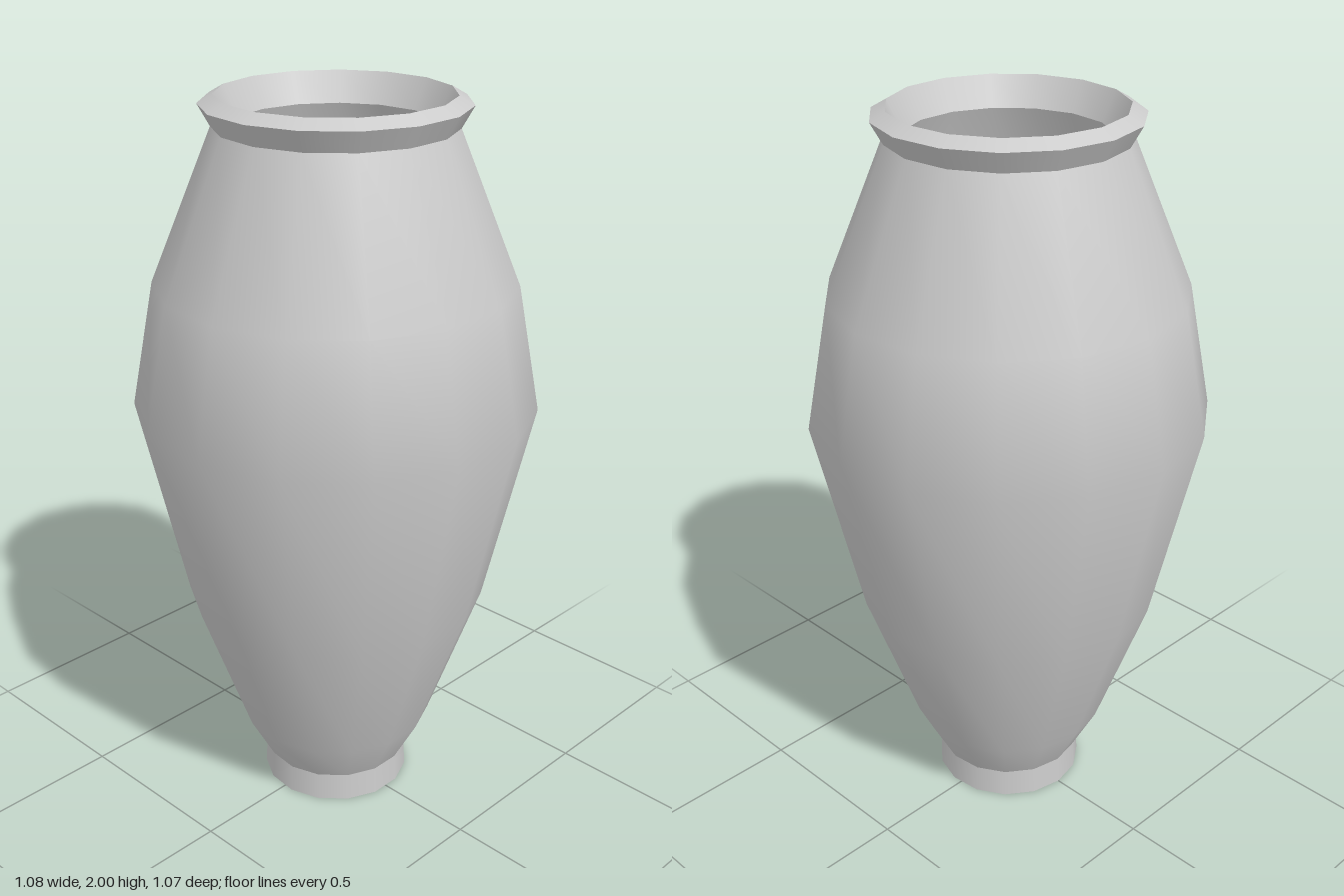
import * as THREE from 'three';

const SIDES = 15;
const material = new THREE.MeshStandardMaterial({ color: 0xcccccc });

// Each band is smooth in itself; the joints between bands stay sharp.
// Points are [radius, height], running up the outside and down the inside.
const bands = {
  footUnderside: [[0, 0], [0.21, 0]],
  foot: [[0.21, 0], [0.205, 0.08]],
  body: [[0.205, 0.08], [0.274, 0.21], [0.416, 0.61], [0.543, 1.18], [0.479, 1.52], [0.314, 1.92]],
  rimUnderside: [[0.314, 1.92], [0.346, 1.977]],
  rimTop: [[0.346, 1.977], [0.306, 2]],
  mouth: [[0.306, 2], [0.267, 1.92]],
  innerWall: [[0.267, 1.92], [0.433, 1.52], [0.495, 1.18], [0.37, 0.61], [0.228, 0.21], [0.158, 0.08]],
  innerFloor: [[0.158, 0.08], [0, 0.08]],
};

export function createModel() {
  const vase = new THREE.Group();
  vase.name = 'vase';
  for (const [name, profile] of Object.entries(bands)) {
    const points = profile.map(([r, y]) => new THREE.Vector2(r, y));
    // Start at the back so that one corner points to -z
    const mesh = new THREE.Mesh(new THREE.LatheGeometry(points, SIDES, Math.PI), material);
    mesh.name = name;
    vase.add(mesh);
  }
  // Odd side count: shift slightly so the depth is centred
  vase.children.forEach((m) => { m.position.z = 0.006; });
  return vase;
}
